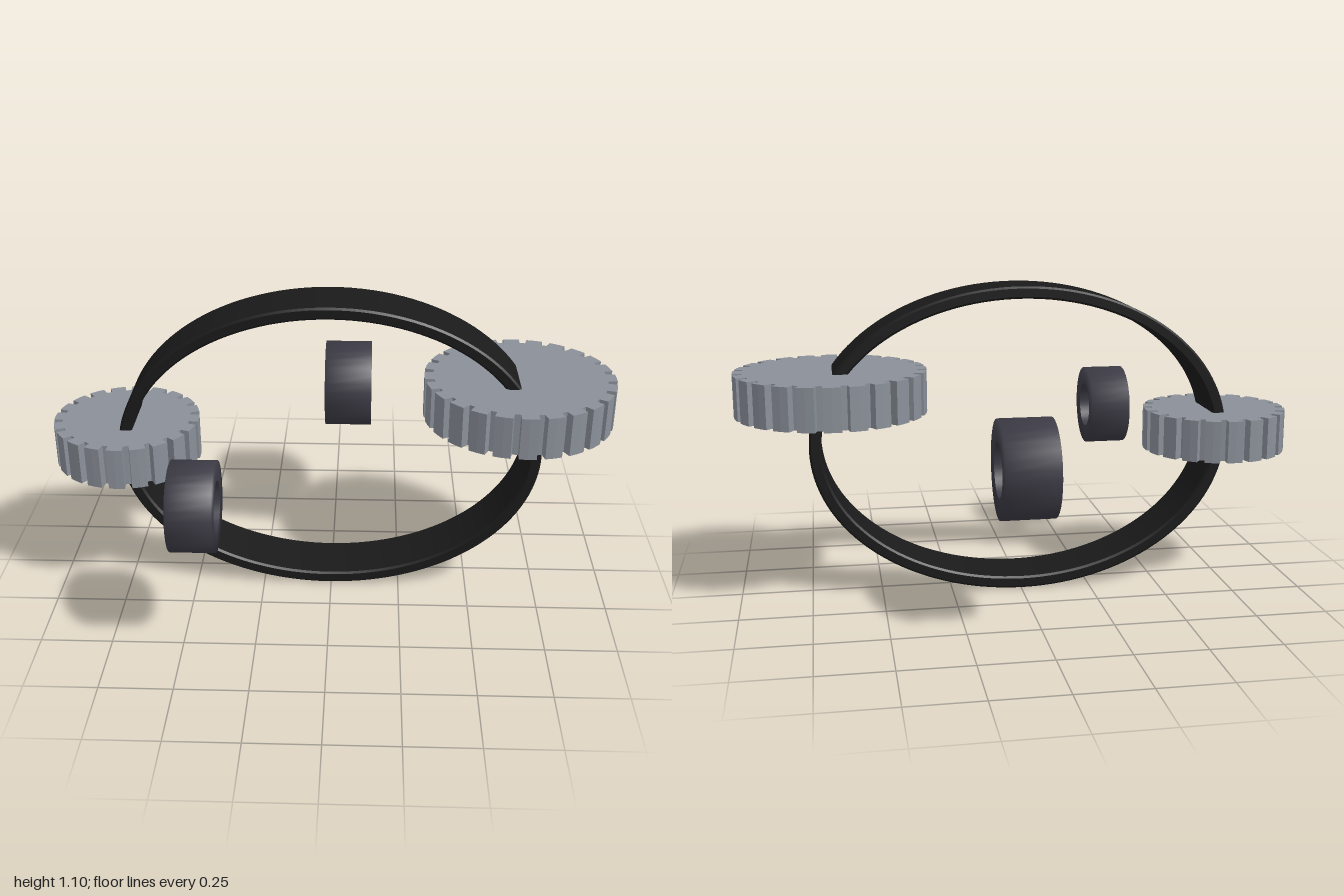
import * as THREE from 'three';
import { toCreasedNormals } from 'three/addons/utils/BufferGeometryUtils.js';

const material = (name, color) => {
  const m = new THREE.MeshStandardMaterial({ color });
  m.name = name;
  return m;
};

export function createModel() {
  const steel = material('steel', 0x8b9099);
  const rubber = material('black rubber', 0x1a1a1a);
  const darkMetal = material('dark metal', 0x3c3b45);
  const model = new THREE.Group();

  const add = (name, geometry, mat, x, y, z) => {
    const mesh = new THREE.Mesh(geometry, mat);
    mesh.name = name;
    mesh.position.set(x, y, z);
    model.add(mesh);
  };

  // Flat gear with narrow notches between wide teeth, standing on its base
  const gear = (radius, teeth, height) => {
    const root = radius - 0.032;
    const pitch = (Math.PI * 2) / teeth;
    const points = [];
    for (let i = 0; i < teeth; i++) {
      for (const [r, t] of [[root, -0.37], [radius, -0.34], [radius, 0], [radius, 0.34], [root, 0.37]]) {
        const a = Math.PI / 2 + (i + t) * pitch;
        points.push(new THREE.Vector2(Math.cos(a) * r, Math.sin(a) * r));
      }
    }
    const geometry = new THREE.ExtrudeGeometry(new THREE.Shape(points), { depth: height, bevelEnabled: false });
    return geometry.rotateX(-Math.PI / 2);
  };

  // Hollow roller with softly shaded rims, axis along x
  const roller = (outer, inner, width) => {
    const h = width / 2;
    const profile = [[inner, -h], [outer, -h], [outer, h], [inner, h], [inner, -h]]
      .map(([r, y]) => new THREE.Vector2(r, y));
    return new THREE.LatheGeometry(profile, 32).rotateZ(Math.PI / 2);
  };

  // Oval belt: extruded ring with a slight bevel on its edges
  const bevel = 0.007;
  const width = 0.212;
  const shape = new THREE.Shape();
  shape.absellipse(0, 0, 0.75 - bevel, 0.549 - bevel, 0, Math.PI * 2);
  const hole = new THREE.Path();
  hole.absellipse(0, 0, 0.707 + bevel, 0.506 + bevel, 0, Math.PI * 2, true);
  shape.holes.push(hole);
  const belt = new THREE.ExtrudeGeometry(shape, {
    depth: width - 2 * bevel, curveSegments: 64,
    bevelSize: bevel, bevelThickness: bevel, bevelSegments: 1,
  }).translate(0, 0, bevel - width / 2);
  add('belt', toCreasedNormals(belt, 0.5), rubber, -0.006, 0.551, 0.008);

  // Gears threaded by the belt
  add('largeGear', gear(0.336, 24, 0.15), steel, 0.661, 0.66, 0.004);
  add('smallGear', gear(0.26, 20, 0.15), steel, -0.74, 0.48, 0.006);

  // Rollers in front of and behind the belt
  add('frontRoller', roller(0.152, 0.085, 0.15), darkMetal, -0.436, 0.553, 0.495);
  add('backRoller', roller(0.166, 0.092, 0.18), darkMetal, 0.051, 0.553, -0.48);

  return model;
}
